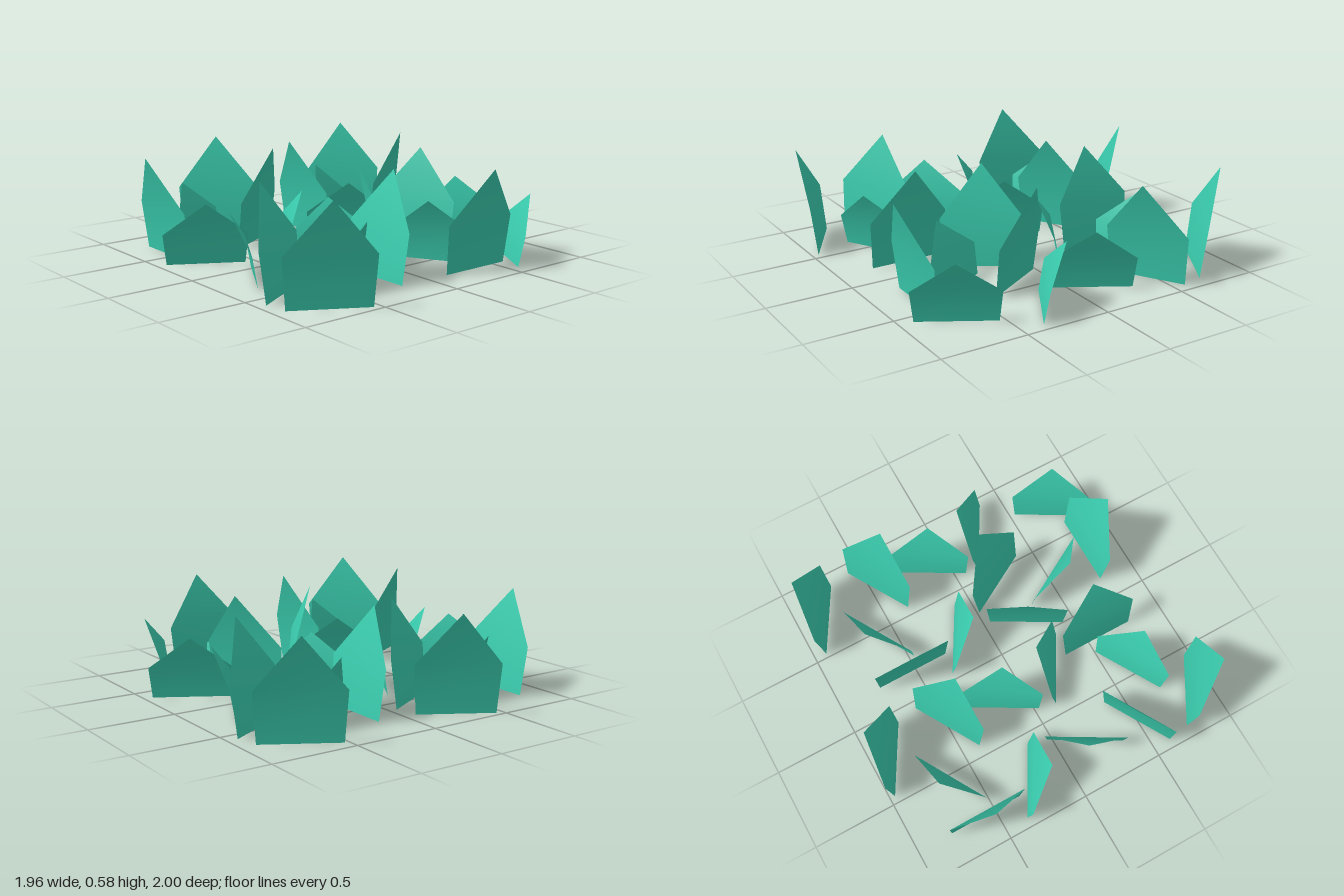
import * as THREE from 'three';

const leafGreen = new THREE.MeshStandardMaterial({ color: 0x3accae, side: THREE.DoubleSide });
leafGreen.name = 'leaf green';

const TALL = 0.58, SHORT = 0.37;

// One pointed leaf, curving forward (+z) toward its tip
function leafGeometry(height) {
  const g = new THREE.BufferGeometry();
  g.setAttribute('position', new THREE.Float32BufferAttribute([
    -0.222, 0, 0,
    0.222, 0, 0,
    0.24, height * 0.485, 0.03,
    -0.24, height * 0.485, 0.03,
    0, height, 0.13,
  ], 3));
  g.setIndex([0, 1, 2, 0, 2, 3, 3, 2, 4]);
  g.computeVertexNormals();
  return g;
}

// Leaves of each clump: [x, z, lean heading in degrees from +x toward +z]
const backClump = {
  tall: [[-0.265, -0.857, 300], [-0.81, -0.56, 180], [-0.237, -0.504, 60]],
  short: [[-0.535, -0.62, 240], [-0.75, -0.248, 120], [-0.293, -0.165, 30]],
};
const frontRightClump = {
  tall: [[-0.755, 0.498, 240], [-0.19, 0.56, 0], [-0.735, 0.852, 120]],
  short: [[-0.707, 0.165, 210], [-0.235, 0.243, 300], [-0.455, 0.617, 60]],
};
const frontLeftClump = {
  tall: [[0.113, 0.235, 210], [0.417, 0.205, 330], [0.36, 0.78, 90]],
  short: [[0.755, 0.258, 300], [0.303, 0.505, 150], [0.672, 0.725, 30]],
};

export function createModel() {
  const model = new THREE.Group();
  model.name = 'grassPatch';
  const tallLeaf = leafGeometry(TALL), shortLeaf = leafGeometry(SHORT);

  function addClump(name, clump, dx = 0, dz = 0) {
    const group = new THREE.Group();
    group.name = name;
    group.position.set(dx, 0, dz);
    for (const [kind, geometry] of [['tall', tallLeaf], ['short', shortLeaf]]) {
      for (const [x, z, heading] of clump[kind]) {
        const leaf = new THREE.Mesh(geometry, leafGreen);
        leaf.name = kind + 'Leaf';
        leaf.position.set(x, 0, z);
        leaf.rotation.y = THREE.MathUtils.degToRad(90 - heading);
        group.add(leaf);
      }
    }
    model.add(group);
  }

  addClump('backRightClump', backClump);
  addClump('backLeftClump', backClump, 0.983, 0.04);
  addClump('frontRightClump', frontRightClump);
  addClump('frontLeftClump', frontLeftClump);
  return model;
}
